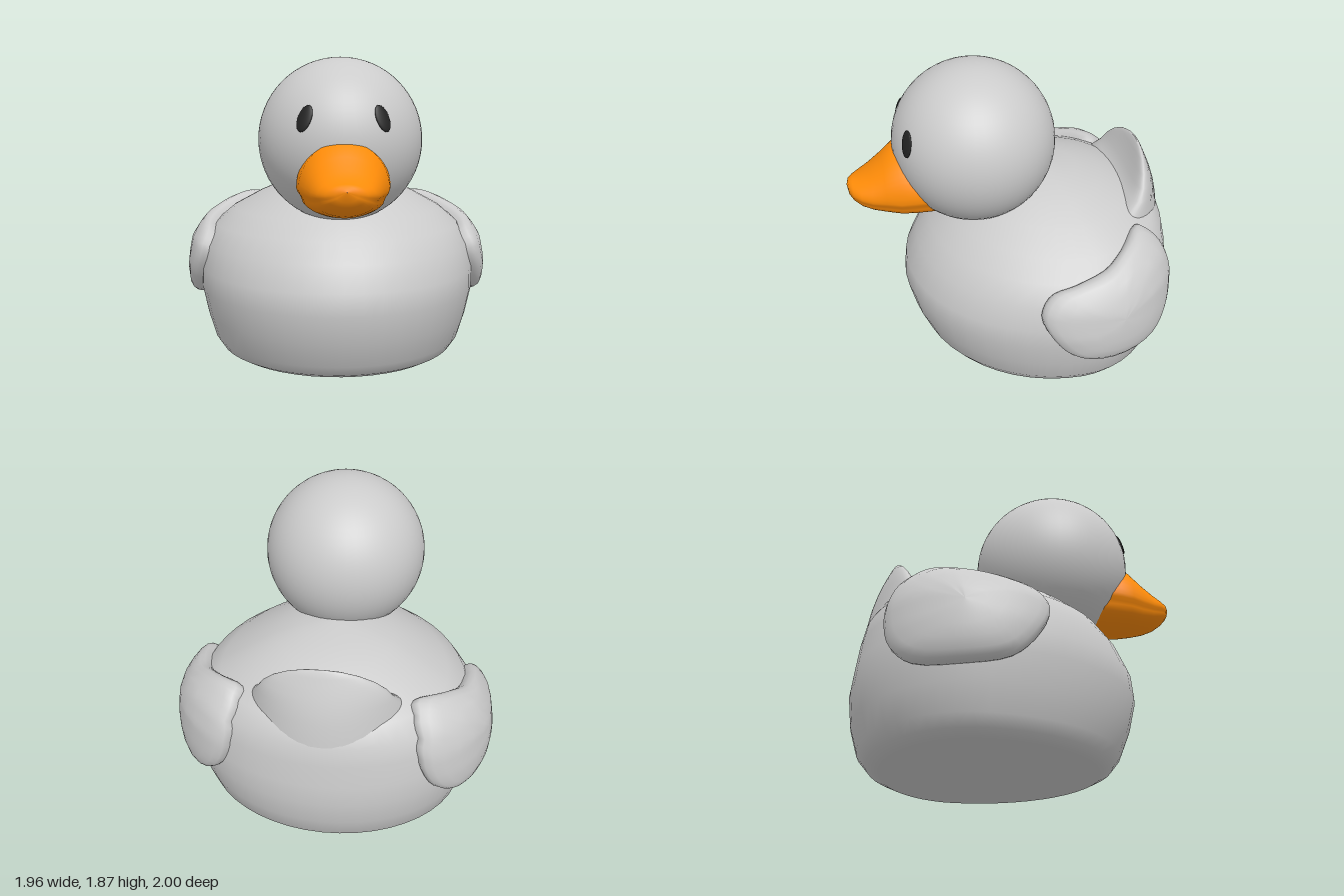
import * as THREE from 'three';

const GREY = new THREE.MeshStandardMaterial({ color: 0xcccccc });
const ORANGE = new THREE.MeshStandardMaterial({ color: 0xff8c08 });
const DARK = new THREE.MeshStandardMaterial({ color: 0x222222 });
const SEG = 48;

// Smooth skin over a stack of closed rings of [x, y, z] points
function loft(name, rings, material) {
  const n = rings[0].length, index = [];
  for (let i = 0; i < rings.length - 1; i++) {
    for (let j = 0; j < n; j++) {
      const a = i * n + j, b = i * n + (j + 1) % n;
      index.push(a, b, b + n, a, b + n, a + n);
    }
  }
  const geo = new THREE.BufferGeometry();
  geo.setAttribute('position', new THREE.Float32BufferAttribute(rings.flat(2), 3));
  geo.setIndex(index);
  geo.computeVertexNormals();
  const mesh = new THREE.Mesh(geo, material);
  mesh.name = name;
  return mesh;
}

const ring = (fn) => Array.from({ length: SEG }, (_, j) => fn(j / SEG * Math.PI * 2));

// Body levels: y, half width, front z, back z
const BODY = [
  [0, 0.001, -0.16, -0.161], [0, 0.66, 0.44, -0.76], [0.005, 0.71, 0.49, -0.81],
  [0.035, 0.765, 0.55, -0.88], [0.1, 0.81, 0.6, -0.935], [0.25, 0.855, 0.66, -0.98],
  [0.42, 0.89, 0.7, -1], [0.55, 0.89, 0.685, -0.985], [0.7, 0.865, 0.61, -0.965],
  [0.82, 0.8, 0.52, -0.94], [0.92, 0.68, 0.41, -0.88], [1.02, 0.5, 0.28, -0.73],
  [1.09, 0.35, 0.15, -0.56], [1.135, 0.2, 0, -0.4], [1.155, 0.001, -0.15, -0.151],
];
const midZ = (front, back) => back + 0.41 * (front - back);

function bodyRing([y, w, front, back]) {
  const c = midZ(front, back);
  return ring((a) => {
    const k = Math.cos(a);
    return [w * Math.sin(a), y, c + k * (k > 0 ? front - c : c - back)];
  });
}

// Half width of the body at a given height and depth
function bodyX(y, z) {
  let i = 1;
  while (i < BODY.length - 2 && BODY[i + 1][0] < y) i++;
  const t = (y - BODY[i][0]) / (BODY[i + 1][0] - BODY[i][0]);
  const [w, front, back] = [1, 2, 3].map((k) => THREE.MathUtils.lerp(BODY[i][k], BODY[i + 1][k], t));
  const c = midZ(front, back);
  const u = (z - c) / (z > c ? front - c : c - back);
  return w * Math.sqrt(Math.max(0.02, 1 - u * u));
}

// Wing: padded patch that follows the body's side; outline is [z, y]
const WING = [
  [0, 0.67], [-0.07, 0.51], [-0.2, 0.385], [-0.42, 0.335], [-0.68, 0.355], [-0.79, 0.46],
  [-0.825, 0.64], [-0.805, 0.78], [-0.73, 0.9], [-0.64, 0.955], [-0.54, 0.93],
  [-0.4, 0.87], [-0.2, 0.82], [-0.06, 0.77],
];
function wing(name, side) {
  const outline = new THREE.CatmullRomCurve3(
    WING.map(([z, y]) => new THREE.Vector3(0, y, z)), true).getPoints(SEG).slice(0, SEG);
  // Each step: scale toward the centre, height above the body
  const steps = [[1, -0.04], [1, 0.015], [0.975, 0.042], [0.92, 0.062], [0.82, 0.076],
    [0.65, 0.086], [0.45, 0.091], [0.22, 0.094], [0.001, 0.095]];
  const h = 0.06;
  const rings = steps.map(([s, lift]) => {
    const pts = outline.map((p) => {
      const y = 0.64 + (p.y - 0.64) * s, z = -0.44 + (p.z + 0.44) * s;
      const normal = new THREE.Vector3(1,
        (bodyX(y - h, z) - bodyX(y + h, z)) / (2 * h),
        (bodyX(y, z - h) - bodyX(y, z + h)) / (2 * h)).normalize();
      return [side * (bodyX(y, z) + normal.x * lift), y + normal.y * lift, z + normal.z * lift];
    });
    return side > 0 ? pts : pts.reverse();
  });
  return loft(name, rings, GREY);
}

// Tail: upright paddle with sides curled forward; y, half width, front z, back z
function tail() {
  const levels = [[0.7, 0.5, -0.5, -0.955], [0.85, 0.47, -0.5, -0.935], [0.96, 0.43, -0.56, -0.915],
    [1.04, 0.385, -0.67, -0.893], [1.11, 0.345, -0.715, -0.868], [1.17, 0.285, -0.745, -0.842],
    [1.22, 0.2, -0.765, -0.82], [1.25, 0.11, -0.778, -0.806], [1.262, 0.001, -0.79, -0.791]];
  return loft('tail', levels.map(([y, w, front, back]) => ring((a) => {
    const x = w * Math.sin(a);
    return [x, y, (front + back) / 2 + Math.cos(a) * (front - back) / 2 + 0.45 * x * x];
  })), GREY);
}

// Beak sections: z, half width, top, bottom, mouth height
function beak() {
  const sections = [[0.45, 0.262, 1.41, 0.97, 1.15], [0.62, 0.262, 1.41, 0.978, 1.145],
    [0.7, 0.25, 1.405, 0.985, 1.14], [0.78, 0.215, 1.33, 0.997, 1.135],
    [0.86, 0.185, 1.262, 1.018, 1.13], [0.92, 0.155, 1.222, 1.045, 1.135],
    [0.965, 0.112, 1.203, 1.08, 1.14], [0.99, 0.062, 1.193, 1.11, 1.15], [1, 0.001, 1.165, 1.163, 1.164]];
  return loft('beak', sections.map(([z, w, top, bottom, mouth]) => ring((a) => {
    const s = Math.sin(a);
    // Narrow groove between the upper and lower bill
    const pinch = 1 - 0.06 * Math.exp(-Math.pow((s + 0.3) / 0.16, 2));
    return [w * Math.cos(a) * pinch, mouth + s * (s > 0 ? top - mouth : mouth - bottom), z];
  })), ORANGE);
}

export function createModel() {
  const model = new THREE.Group();
  model.name = 'toyDuck';
  model.add(loft('body', BODY.map(bodyRing), GREY), tail(), beak());

  // Head
  const centre = new THREE.Vector3(0, 1.385, 0.23);
  const head = new THREE.Mesh(new THREE.SphereGeometry(0.486, 48, 32), GREY);
  head.name = 'head';
  head.position.copy(centre);
  model.add(head);

  // Mirrored wings and eyes
  for (const side of [1, -1]) {
    const label = side > 0 ? 'left' : 'right';
    model.add(wing(label + 'Wing', side));
    const eye = new THREE.Group();
    eye.name = label + 'Eye';
    const disc = new THREE.Mesh(new THREE.SphereGeometry(1, 24, 16), DARK);
    disc.scale.set(0.043, 0.078, 0.012);
    disc.rotation.z = side * 0.24;
    eye.add(disc);
    const out = new THREE.Vector3(side * 0.213, 0.14, 0.41).normalize();
    eye.position.copy(centre).addScaledVector(out, 0.484);
    eye.lookAt(eye.position.clone().add(out));
    model.add(eye);
  }
  return model;
}
